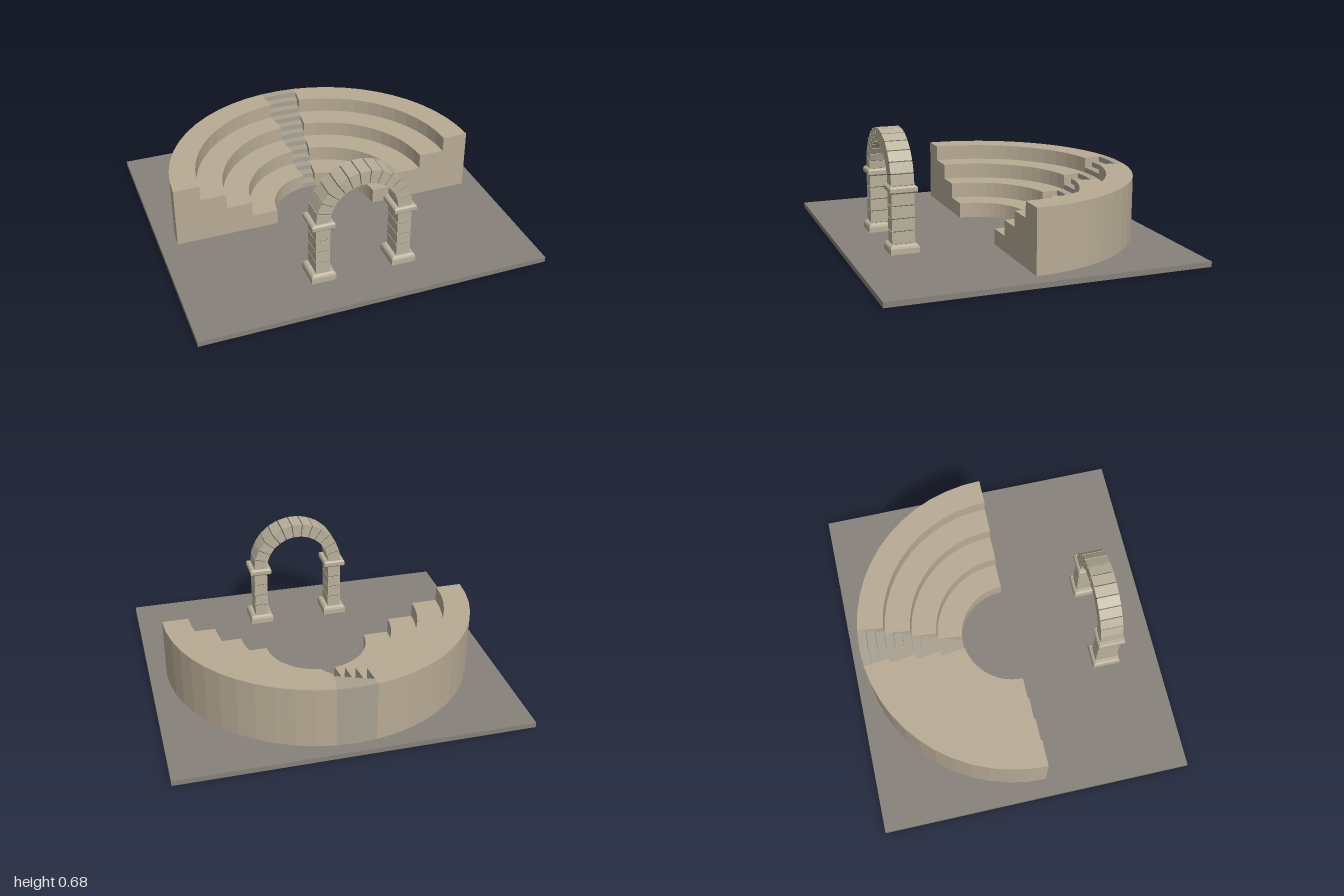
import * as THREE from 'three';

const material = (color) => new THREE.MeshStandardMaterial({ color, flatShading: true });
const groundMat = material(0x87817a);
const seatMat = material(0xb8ab95);
const stairMat = material(0xa9a291);
const stoneMat = material(0xb9b09b);
const jointMat = material(0x5a554a);

function add(parent, name, geometry, mat, x = 0, y = 0, z = 0) {
  const mesh = new THREE.Mesh(geometry, mat);
  mesh.name = name;
  mesh.position.set(x, y, z);
  parent.add(mesh);
  return mesh;
}

// Slice of a ring, drawn in the xy plane and extruded along +z
function sector(r0, r1, a0, a1, depth, segments) {
  const points = [];
  const put = (r, t) => {
    const a = a0 + (a1 - a0) * t;
    points.push(new THREE.Vector2(r * Math.cos(a), r * Math.sin(a)));
  };
  for (let i = 0; i <= segments; i++) put(r1, i / segments);
  for (let i = segments; i >= 0; i--) put(r0, i / segments);
  return new THREE.ExtrudeGeometry(new THREE.Shape(points), { depth, bevelEnabled: false });
}

// The same slice lying flat and standing upward
const floorSector = (...args) => sector(...args).rotateX(-Math.PI / 2);

// Rectangular moulding from a profile of [share of full width, y]
function moulding(width, depth, profile) {
  const pts = profile.map(([s, y]) => new THREE.Vector2(s * Math.SQRT1_2, y));
  const g = new THREE.LatheGeometry(pts, 4, Math.PI / 4).scale(width, 1, depth).toNonIndexed();
  g.computeVertexNormals();
  return g;
}

const BASE = 0.03;

// Half-round seating with a stairway cut through the middle
function createSeating() {
  const seating = new THREE.Group();
  seating.name = 'seating';
  seating.position.set(0, BASE, 0.07);
  const half = 0.125;
  const mid = Math.PI / 2;
  for (let tier = 0; tier < 4; tier++) {
    const r = 0.3 + tier * 0.15;
    const height = 0.09 * (tier + 1);
    add(seating, 'leftTier', floorSector(r, r + 0.15, 0, mid - half, height, 12), seatMat);
    add(seating, 'rightTier', floorSector(r, r + 0.15, mid + half, Math.PI, height, 12), seatMat);
    for (let step = 0; step < 3; step++) {
      const sr = r + step * 0.05;
      const stepHeight = tier * 0.09 + (step + 1) * 0.03;
      add(seating, 'stairStep', floorSector(sr, sr + 0.05, mid - half, mid + half, stepHeight, 2), stairMat);
    }
  }
  return seating;
}

// Freestanding arch of stone blocks on two piers
function createArch() {
  const arch = new THREE.Group();
  arch.name = 'arch';
  arch.position.z = 0.59;
  const depth = 0.13;
  const gap = 0.005;
  const inset = 0.004;
  const pierBottom = 0.08;
  const pierTop = 0.365;
  const spring = 0.405;
  const blockHeight = (pierTop - pierBottom) / 4;

  for (const side of [-1, 1]) {
    const pier = new THREE.Group();
    pier.name = side > 0 ? 'leftPier' : 'rightPier';
    pier.position.x = side * 0.235;
    arch.add(pier);
    add(pier, 'pierBase', moulding(0.14, 0.165, [
      [0, BASE], [1, BASE], [1, 0.06], [0.95, 0.072], [0.82, pierBottom], [0, pierBottom],
    ]), stoneMat);
    for (let i = 0; i < 4; i++) {
      add(pier, 'pierBlock', new THREE.BoxGeometry(0.08, blockHeight - gap, depth), stoneMat,
        0, pierBottom + (i + 0.5) * blockHeight);
    }
    add(pier, 'pierJoints',
      new THREE.BoxGeometry(0.08 - 2 * inset, pierTop - pierBottom, depth - 2 * inset),
      jointMat, 0, (pierTop + pierBottom) / 2);
    add(pier, 'impost', moulding(0.13, 0.157, [
      [0, pierTop], [0.88, pierTop], [1, 0.374], [1, 0.396], [0.88, spring], [0, spring],
    ]), stoneMat);
  }

  // Wedge blocks, with one keystone at the crown
  const count = 13;
  const span = Math.PI / count;
  const angleGap = gap / 0.235 / 2;
  for (let i = 0; i < count; i++) {
    add(arch, i === 6 ? 'keystone' : 'archBlock',
      sector(0.195, 0.275, i * span + angleGap, (i + 1) * span - angleGap, depth, 1),
      stoneMat, 0, spring, -depth / 2);
  }
  add(arch, 'archJoints', sector(0.195 + inset, 0.275 - inset, 0, Math.PI, depth - 2 * inset, count),
    jointMat, 0, spring, -depth / 2 + inset);
  return arch;
}

export function createModel() {
  const model = new THREE.Group();
  model.name = 'amphitheatre';
  add(model, 'ground', new THREE.BoxGeometry(2, BASE, 1.8), groundMat, 0, BASE / 2, 0);
  model.add(createSeating(), createArch());
  return model;
}
